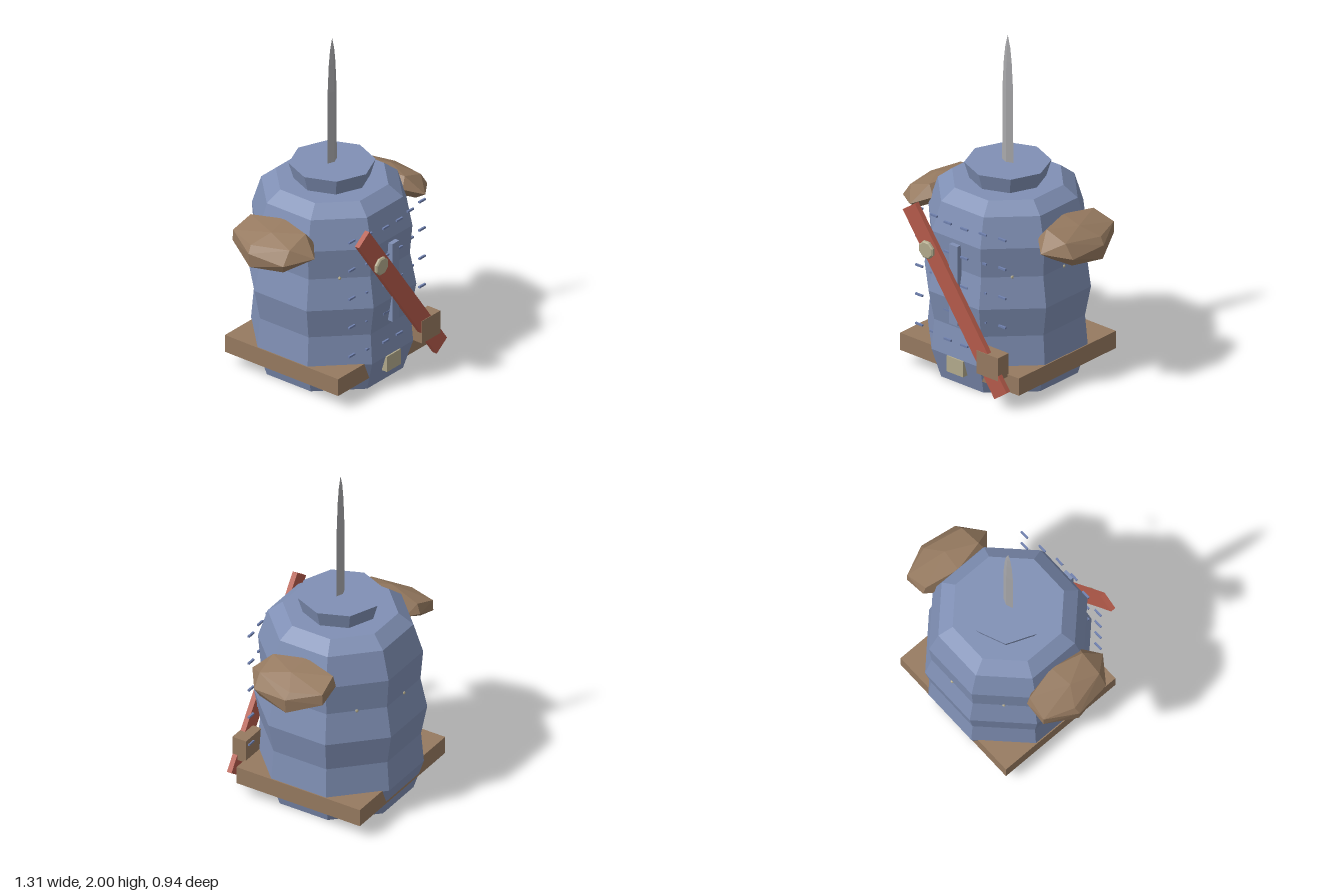
import * as THREE from 'three';
import { ConvexGeometry } from 'three/addons/geometries/ConvexGeometry.js';

const CZ = -0.024; // z of the body axis

const mat = (name, color) => {
  const m = new THREE.MeshStandardMaterial({ color });
  m.name = name;
  return m;
};

// Split all faces so that each one is shaded flat
function flat(geometry) {
  const g = geometry.index ? geometry.toNonIndexed() : geometry;
  g.computeVertexNormals();
  return g;
}

const lathe = (profile, sides, start = 0) =>
  flat(new THREE.LatheGeometry(profile.map(([r, y]) => new THREE.Vector2(r, y)), sides, start));

export function createModel() {
  const model = new THREE.Group();
  model.name = 'armouredTorso';
  const steel = mat('blueSteel', 0x8090b5);
  const slit = mat('slitBlue', 0x6f80ae);
  const leather = mat('leather', 0x967a60);
  const red = mat('redSash', 0xb55b4b);
  const brass = mat('paleBrass', 0xb2aa8c);
  const blade = mat('bladeGrey', 0xa9a9ac);

  const add = (name, geometry, material, x = 0, y = 0, z = 0) => {
    const mesh = new THREE.Mesh(geometry, material);
    mesh.name = name;
    mesh.position.set(x, y, z);
    model.add(mesh);
    return mesh;
  };
  // Box given by its minimum and maximum corners
  const box = (name, material, a, b) =>
    add(name, new THREE.BoxGeometry(b[0] - a[0], b[1] - a[1], b[2] - a[2]), material,
      (a[0] + b[0]) / 2, (a[1] + b[1]) / 2, (a[2] + b[2]) / 2);

  // Eight-sided body with bulging bands, flats facing front and sides
  const bands = [[0, 0], [0.376, 0], [0.43, 0.18], [0.415, 0.36], [0.447, 0.54],
    [0.412, 0.72], [0.426, 0.9], [0.376, 1.07], [0.299, 1.135], [0, 1.135]];
  const toCorner = 1 / Math.cos(Math.PI / 8);
  add('body', lathe(bands.map(([r, y]) => [r * toCorner, y]), 8, Math.PI / 8), steel, 0, 0, CZ);

  // Flared collar, corners on the axes
  add('collar', lathe([[0, 1.12], [0.208, 1.12], [0.241, 1.23], [0, 1.23]], 8), steel, 0, 0, CZ);

  // Diamond-section blade
  const sword = add('blade', lathe([[0, 1.2], [0.041, 1.2], [0.039, 1.67], [0.029, 1.84],
    [0.018, 1.93], [0, 2]], 4), blade, 0, 0, CZ);
  sword.scale.z = 0.4;

  // Square belt
  box('belt', leather, [-0.436, 0.08, -0.428], [0.436, 0.185, 0.376]);
  box('beltBuckle', brass, [-0.06, 0.085, 0.37], [0.06, 0.18, 0.415]);
  box('pouch', leather, [0.195, 0.17, 0.367], [0.353, 0.31, 0.456]);

  // Front plate
  box('frontPlate', steel, [-0.03, 0.392, 0.395], [0.03, 0.876, 0.428]);

  // Diagonal sash and its round clasp
  const sash = add('sash', new THREE.BoxGeometry(0.11, 1.16, 0.03), red, 0.033, 0.555, 0.438);
  sash.rotation.z = 0.62;
  const clasp = add('sashClasp', lathe([[0, -0.012], [0.046, -0.012], [0.054, -0.006],
    [0.054, 0.006], [0.046, 0.012], [0, 0.012]], 8, Math.PI / 8), brass, -0.165, 0.81, 0.461);
  clasp.rotation.x = Math.PI / 2;

  // Rows of slits across the front
  for (const y of [0.275, 0.455, 0.633, 0.81, 0.987]) {
    for (const [x, z] of [[0.06, 0.405], [0.18, 0.385], [0.305, 0.365]]) {
      for (const s of [-1, 1]) {
        add('slit', new THREE.BoxGeometry(0.052, 0.011, 0.011), slit, s * x, y, z);
      }
    }
  }

  // Ring of small studs at the waist seam
  for (let i = 0; i < 8; i++) {
    const a = i * Math.PI / 4;
    add('stud', flat(new THREE.SphereGeometry(0.01, 6, 4)), brass,
      0.412 * Math.sin(a), 0.72, CZ + 0.412 * Math.cos(a));
  }

  // Faceted shoulder pads: crown, rim and underside, mirrored
  const pad = [
    [0.52, 1.0, -0.03], [0.43, 1.0, -0.25], [0.565, 0.955, -0.265], [0.625, 0.945, -0.09],
    [0.57, 0.965, 0.14], [0.43, 1.01, 0.14], [0.385, 1.022, -0.05],
    [0.656, 0.905, -0.08], [0.625, 0.885, 0.14], [0.48, 0.91, 0.245], [0.385, 0.95, 0.16],
    [0.39, 0.92, -0.2], [0.43, 0.94, -0.268], [0.565, 0.89, -0.268],
    [0.648, 0.82, -0.08], [0.6, 0.835, 0.12], [0.49, 0.86, 0.17], [0.4, 0.9, 0.1],
    [0.4, 0.895, -0.15], [0.54, 0.845, -0.2],
  ];
  for (const [name, s] of [['leftShoulderPad', 1], ['rightShoulderPad', -1]]) {
    add(name, new ConvexGeometry(pad.map(([x, y, z]) => new THREE.Vector3(s * x, y, z))), leather);
  }
  return model;
}
